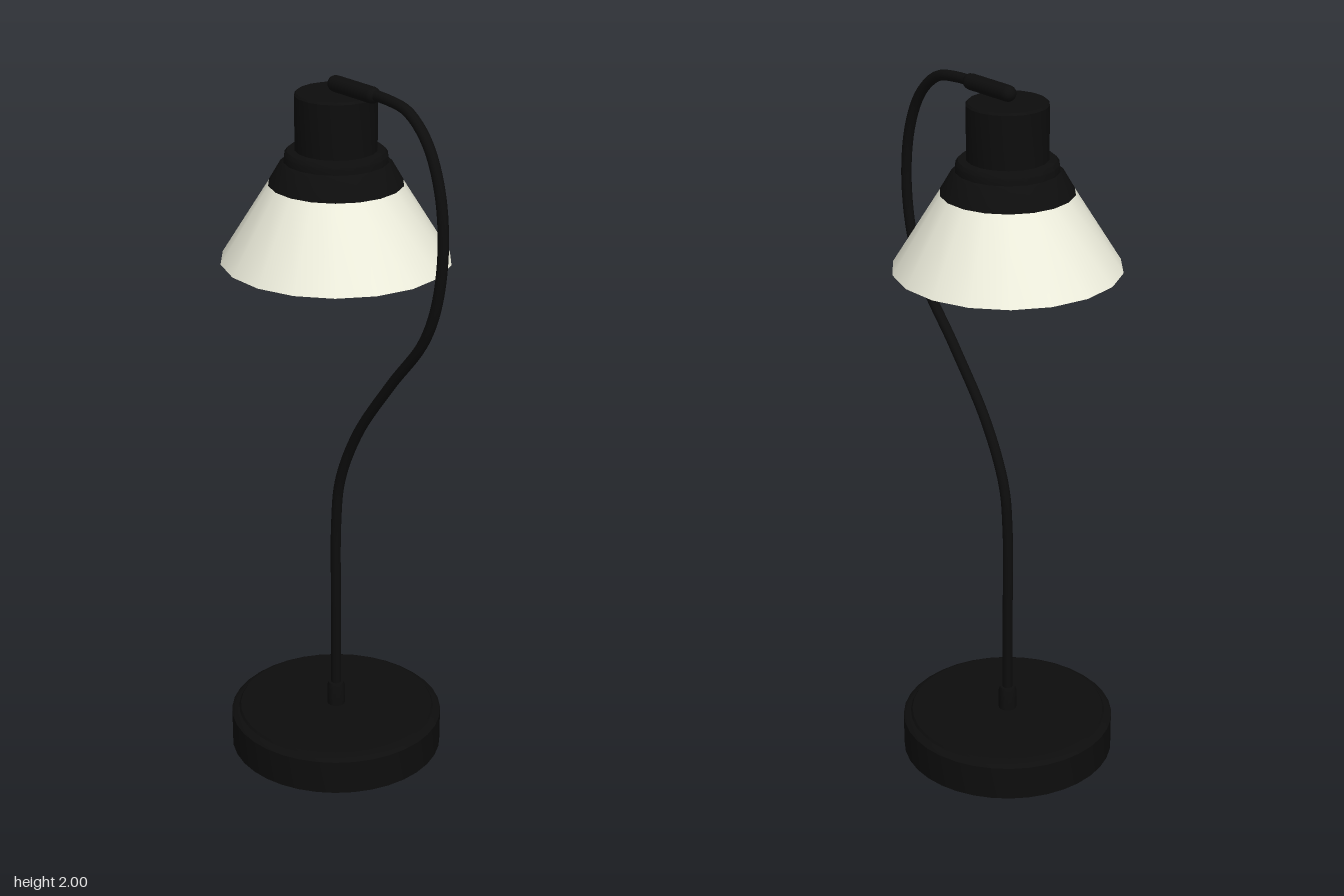
import * as THREE from 'three';
import { toCreasedNormals } from 'three/addons/utils/BufferGeometryUtils.js';

const black = new THREE.MeshStandardMaterial({ color: 0x0d0d0d });
const cream = new THREE.MeshStandardMaterial({ color: 0xeeeedd, side: THREE.DoubleSide });

export function createModel() {
  const lamp = new THREE.Group();
  lamp.name = 'deskLamp';
  const axis = -0.007; // the lamp's vertical axis, shifted by the bulge of the neck

  const add = (name, geometry, material = black) => {
    const mesh = new THREE.Mesh(geometry, material);
    mesh.name = name;
    lamp.add(mesh);
    return mesh;
  };
  // turned part from [radius, height] pairs, listed from the bottom up
  const turned = (name, profile, sides, material) => {
    const points = profile.map(([r, y]) => new THREE.Vector2(r, y));
    const geometry = new THREE.LatheGeometry(points, sides);
    const mesh = add(name, toCreasedNormals(geometry, 0.5), material);
    mesh.position.set(axis, 0, axis);
    mesh.rotation.y = THREE.MathUtils.degToRad(5);
    return mesh;
  };

  // heavy round foot with a bevelled rim
  turned('base', [[0, 0], [0.306, 0], [0.306, 0.1], [0.298, 0.107], [0.285, 0.11],
    [0.28, 0.117], [0, 0.117]], 36);

  // collar where the neck enters the foot
  turned('baseCollar', [[0.026, 0.11], [0.026, 0.175], [0.022, 0.187], [0, 0.187]], 16);

  // gooseneck: [distance along x and z, height]
  const path = [[-0.007, 0.15], [-0.007, 0.4], [-0.007, 0.7], [0.005, 0.84], [0.058, 1.01],
    [0.155, 1.2], [0.245, 1.36], [0.28, 1.48], [0.294, 1.64], [0.281, 1.79], [0.246, 1.9],
    [0.195, 1.963], [0.14, 1.978], [0.06, 1.978]];
  const curve = new THREE.CatmullRomCurve3(path.map(([d, y]) => new THREE.Vector3(d, y, d)));
  add('neck', new THREE.TubeGeometry(curve, 110, 0.0145, 12));

  // thicker round-ended sleeve over the end of the neck
  const sleeve = add('neckSleeve', new THREE.CapsuleGeometry(0.022, 0.147, 6, 16));
  sleeve.position.set(0.044, 1.978, 0.044);
  sleeve.quaternion.setFromUnitVectors(new THREE.Vector3(0, 1, 0),
    new THREE.Vector3(1, 0, 1).normalize());

  // socket housing: flared skirt, stepped ring and cap
  turned('socketHousing', [[0, 1.71], [0.182, 1.71], [0.15, 1.765], [0.141, 1.772], [0.139, 1.79],
    [0.132, 1.8], [0.111, 1.803], [0.111, 1.95], [0.106, 1.956], [0, 1.956]], 18);

  // thin open shade
  turned('shade', [[0.313, 1.498], [0.18, 1.712]], 18, cream);

  return lamp;
}
